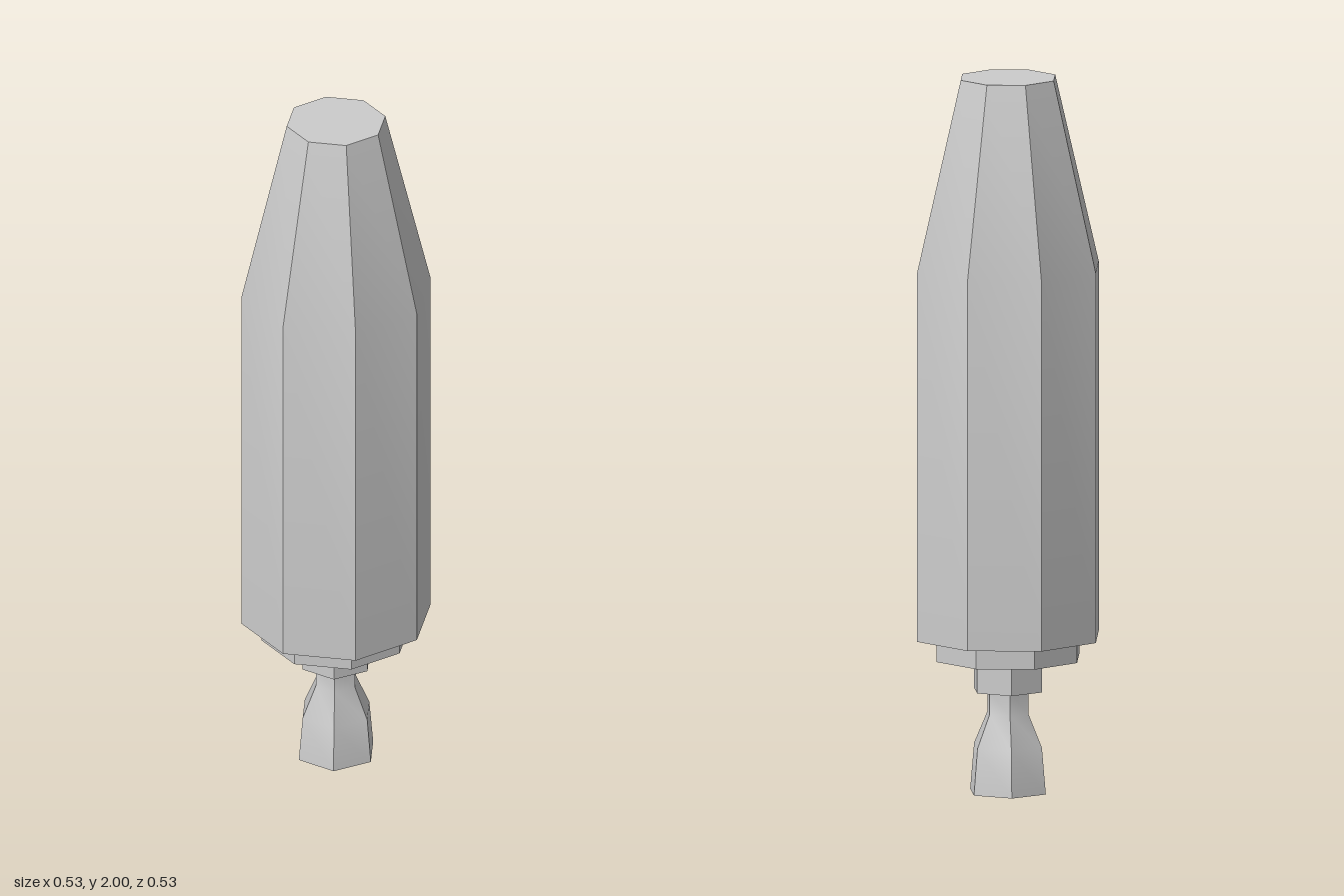
import * as THREE from 'three';
import { toCreasedNormals } from 'three/addons/utils/BufferGeometryUtils.js';

// Faceted solid of revolution: profile of [radius, y], listed from bottom to top.
// Corners lie on the x axis; shallow bends in the profile stay smooth.
function turned(name, sides, profile) {
  const points = profile.map(([r, y]) => new THREE.Vector2(r, y));
  points.unshift(new THREE.Vector2(0, points[0].y));
  points.push(new THREE.Vector2(0, points[points.length - 1].y));
  const lathe = new THREE.LatheGeometry(points, sides, Math.PI / 2);
  const mesh = new THREE.Mesh(
    toCreasedNormals(lathe, Math.PI / 6),
    new THREE.MeshStandardMaterial({ color: 0xcccccc })
  );
  mesh.name = name;
  return mesh;
}

export function createModel() {
  const model = new THREE.Group();
  model.name = 'rocketStage';
  model.add(
    // Octagonal tank with a tapered, flat-topped nose
    turned('body', 8, [[0.267, 0.435], [0.267, 1.47], [0.139, 2]]),
    // Octagonal plate under the tank
    turned('basePlate', 8, [[0.21, 0.375], [0.21, 0.435]]),
    // Hexagonal engine mount
    turned('engineMount', 6, [[0.104, 0.285], [0.104, 0.375]]),
    // Hexagonal neck flaring into the nozzle bell
    turned('nozzle', 6, [[0.115, 0], [0.103, 0.13], [0.062, 0.222], [0.062, 0.285]])
  );
  return model;
}
